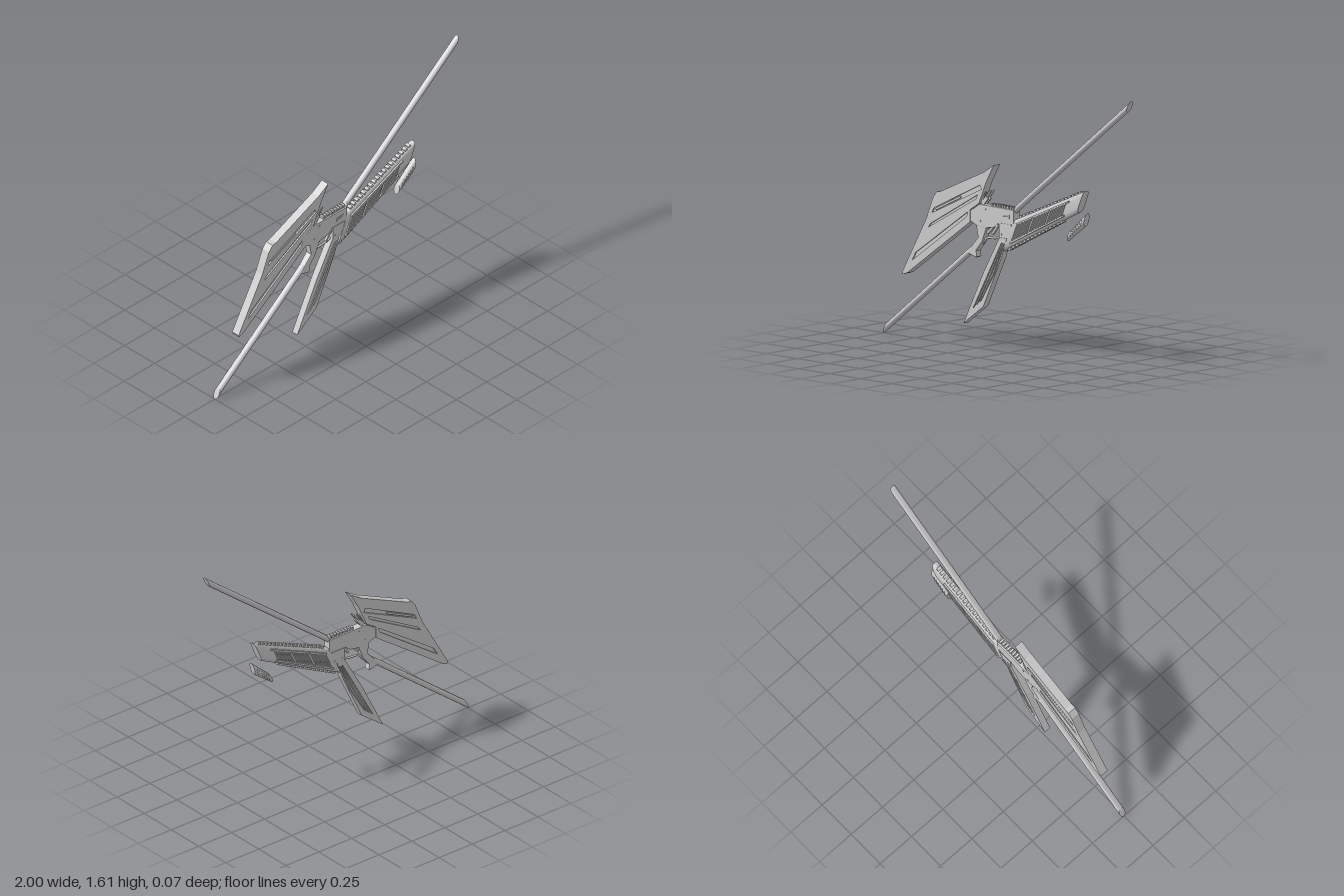
import * as THREE from 'three';
import { toCreasedNormals } from 'three/addons/utils/BufferGeometryUtils.js';

const grey = new THREE.MeshStandardMaterial({ color: 0xcccccc });
const V = (p) => new THREE.Vector2(p[0], p[1]);
const lerp = THREE.MathUtils.lerp;

export function createModel() {
  const model = new THREE.Group();

  const add = (geometry, name, parent = model) => {
    const mesh = new THREE.Mesh(geometry, grey);
    mesh.name = name;
    parent.add(mesh);
    return mesh;
  };
  const group = (name) => {
    const g = new THREE.Group();
    g.name = name;
    model.add(g);
    return g;
  };

  // Flat plate of an outline, centred on z, with optional bevel and holes
  const plate = (points, depth, holes = [], bevel = 0) => {
    const shape = new THREE.Shape(points.map(V));
    holes.forEach((h) => shape.holes.push(new THREE.Path(h.map(V))));
    const geo = new THREE.ExtrudeGeometry(shape, {
      depth: depth - 2 * bevel, bevelEnabled: bevel > 0,
      bevelSize: bevel, bevelThickness: bevel, bevelOffset: -bevel, bevelSegments: 2,
    });
    return geo.translate(0, 0, bevel - depth / 2);
  };

  // Straight bar between two points in the xy plane
  const bar = (a, b, width, depth, z = 0) => {
    const d = V(b).sub(V(a));
    return new THREE.BoxGeometry(d.length(), width, depth)
      .rotateZ(d.angle())
      .translate((a[0] + b[0]) / 2, (a[1] + b[1]) / 2, z);
  };

  // Round bar with slanted ends: centre and half cut vector at each end,
  // half width w in z, power below 1 gives flatter sides
  const slanted = (c0, u0, c1, u1, w, power = 1) => {
    const geo = new THREE.CylinderGeometry(1, 1, 1, 32, 1);
    const pos = geo.attributes.position;
    const soft = (v) => Math.sign(v) * Math.abs(v) ** power;
    for (let i = 0; i < pos.count; i++) {
      const t = pos.getY(i) + 0.5;
      const s = -soft(pos.getX(i));
      pos.setXYZ(i,
        lerp(c0[0], c1[0], t) + s * lerp(u0[0], u1[0], t),
        lerp(c0[1], c1[1], t) + s * lerp(u0[1], u1[1], t),
        soft(pos.getZ(i)) * w);
    }
    return toCreasedNormals(geo, 0.7);
  };

  // Long rods on one diagonal
  const cut = [0.016, 0.035];
  const onLine = (x) => [x, 0.805 + x * 0.783];
  add(slanted(onLine(-0.984), cut, onLine(-0.24), cut, 0.021), 'lowerRod');
  add(slanted(onLine(0.065), cut, onLine(0.984), cut, 0.021), 'upperRod');

  // Stock: slotted shell around a thinner core
  const stock = group('stock');
  const stockOutline = [
    [-0.09, 1.105], [-0.17, 1.055], [-0.52, 0.9], [-0.55, 0.895], [-0.58, 0.86],
    [-0.635, 0.725], [-0.83, 0.385], [-0.825, 0.372], [-0.79, 0.384], [-0.28, 0.747],
    [-0.28, 0.82], [-0.21, 0.865], [-0.15, 1.0],
  ];
  const stockSlots = [
    [[-0.59, 0.765], [-0.575, 0.795], [-0.2, 0.975], [-0.19, 0.95]],
    [[-0.75, 0.465], [-0.72, 0.515], [-0.3, 0.805], [-0.31, 0.775]],
    [[-0.62, 0.675], [-0.6, 0.7], [-0.22, 0.915], [-0.235, 0.888]],
  ];
  add(plate(stockOutline, 0.054, stockSlots), 'stockShell', stock);
  stockSlots.forEach((s) => add(plate(s, 0.036), 'stockSlotFloor', stock));
  for (const z of [-0.022, 0.022]) {
    add(bar([-0.56, 0.79], [-0.36, 0.885], 0.012, 0.01, z), 'stockSlotRail', stock);
  }

  // Receiver with port, pins and top rail
  const receiver = group('receiver');
  add(plate([
    [-0.21, 0.86], [-0.28, 0.815], [-0.28, 0.75], [-0.23, 0.73], [-0.18, 0.72],
    [-0.09, 0.735], [-0.05, 0.765], [-0.05, 0.68], [0.05, 0.68], [0.05, 0.765],
    [0.07, 0.768], [0.07, 0.855],
  ], 0.05, [], 0.004), 'receiverBody', receiver);
  add(bar([-0.02, 0.807], [0.035, 0.813], 0.022, 0.006, 0.026), 'portCover', receiver);
  add(bar([-0.01, 0.808], [0.025, 0.812], 0.008, 0.008, 0.028), 'portBolt', receiver);
  add(bar([-0.05, 0.765], [0.05, 0.765], 0.006, 0.056), 'magazineWellRim', receiver);
  for (const [x, y] of [[-0.16, 0.835], [-0.2, 0.76], [-0.03, 0.7], [0.03, 0.7]]) {
    add(new THREE.CylinderGeometry(0.006, 0.006, 0.056, 12)
      .rotateX(Math.PI / 2).translate(x, y, 0), 'pin', receiver);
  }
  for (let i = 0; i < 9; i++) {
    add(new THREE.BoxGeometry(0.013, 0.018, 0.032)
      .translate(-0.115 + i * 0.021, 0.864, 0), 'railTooth', receiver);
  }

  // Upright prongs behind the rail
  for (const z of [-0.012, 0.012]) {
    add(bar([-0.195, 0.86], [-0.155, 0.905], 0.024, 0.01, z), 'prongBase');
    add(bar([-0.185, 0.87], [-0.125, 0.95], 0.009, 0.007, z), 'prong');
    add(bar([-0.2, 0.875], [-0.165, 0.935], 0.007, 0.006, z), 'shortProng');
  }

  // Grip, trigger and trigger guard
  add(plate([
    [-0.24, 0.735], [-0.225, 0.66], [-0.305, 0.575], [-0.315, 0.56], [-0.245, 0.538],
    [-0.232, 0.545], [-0.237, 0.58], [-0.19, 0.635], [-0.15, 0.735],
  ], 0.044, [], 0.008), 'grip');
  add(bar([-0.11, 0.74], [-0.165, 0.69], 0.014, 0.012), 'trigger');
  add(bar([-0.06, 0.755], [-0.105, 0.695], 0.014, 0.014, 0.018), 'releaseLever');
  const guardPath = new THREE.CatmullRomCurve3(
    [[-0.2, 0.625], [-0.17, 0.66], [-0.1, 0.668], [-0.02, 0.685]]
      .map(([x, y]) => new THREE.Vector3(x, y, 0)));
  add(new THREE.TubeGeometry(guardPath, 24, 0.007, 8), 'triggerGuard');

  // Magazine with lengthwise grooves
  const magazine = group('magazine');
  const grooves = [0.24, 0.48, 0.72].map((f) => {
    const at = (g, h) => {
      // three stations down the magazine: top, bend, foot
      const rows = [[-0.045, 0.65, 0.0, 0.65], [-0.17, 0.44, -0.075, 0.46], [-0.29, 0.215, -0.18, 0.3]];
      const r = rows[h];
      return [lerp(r[0], r[2], g), lerp(r[1], r[3], g)];
    };
    return [at(f, 0), at(f, 1), at(f, 2), at(f + 0.11, 2), at(f + 0.11, 1), at(f + 0.11, 0)];
  });
  add(plate([
    [-0.05, 0.68], [-0.18, 0.455], [-0.34, 0.137], [-0.18, 0.255], [-0.035, 0.56], [0.008, 0.68],
  ], 0.042, grooves), 'magazineShell', magazine);
  grooves.forEach((g) => add(plate(g, 0.026), 'magazineGrooveFloor', magazine));

  // Handguard: tapered slanted body with side slats and toothed edges
  const handguard = group('handguard');
  const c0 = [0.025, 0.7], u0 = [0.045, 0.1], c1 = [0.607, 0.967], u1 = [0.028, 0.067];
  add(slanted(c0, u0, c1, u1, 0.027, 0.6), 'handguardBody', handguard);
  const side = (t, s) => [0, 1].map((k) => lerp(c0[k], c1[k], t) + s * lerp(u0[k], u1[k], t));
  for (const z of [-0.028, 0.028]) {
    for (let i = 0; i < 30; i++) {
      if (i % 10 === 9) continue;
      const t = 0.1 + i * 0.024;
      add(bar(side(t, -0.62), side(t, 0.55), 0.007, 0.013, z), 'slat', handguard);
    }
    for (const s of [-0.64, 0.58]) {
      add(bar(side(0.08, s), side(0.82, s), 0.009, 0.014, z), 'slatFrame', handguard);
    }
  }
  for (let i = 0; i < 18; i++) {
    const t = 0.06 + i * 0.05;
    add(bar(side(t, 1.02), side(t + 0.032, 1.02), 0.017, 0.03), 'upperTooth', handguard);
    if (i < 15) add(bar(side(t, -1.02), side(t + 0.032, -1.02), 0.017, 0.03), 'lowerTooth', handguard);
  }

  // Loose nose piece with small vents
  const nose = group('nosePiece');
  add(slanted([0.5, 0.752], [0.01, 0.032], [0.635, 0.862], [0.01, 0.042], 0.022), 'noseBody', nose);
  for (const z of [-0.019, 0.019]) {
    for (let i = 0; i < 6; i++) {
      const x = 0.525 + i * 0.017, y = 0.772 + i * 0.014;
      add(bar([x - 0.006, y - 0.018], [x + 0.006, y + 0.018], 0.006, 0.009, z), 'noseRib', nose);
    }
  }

  return model;
}
